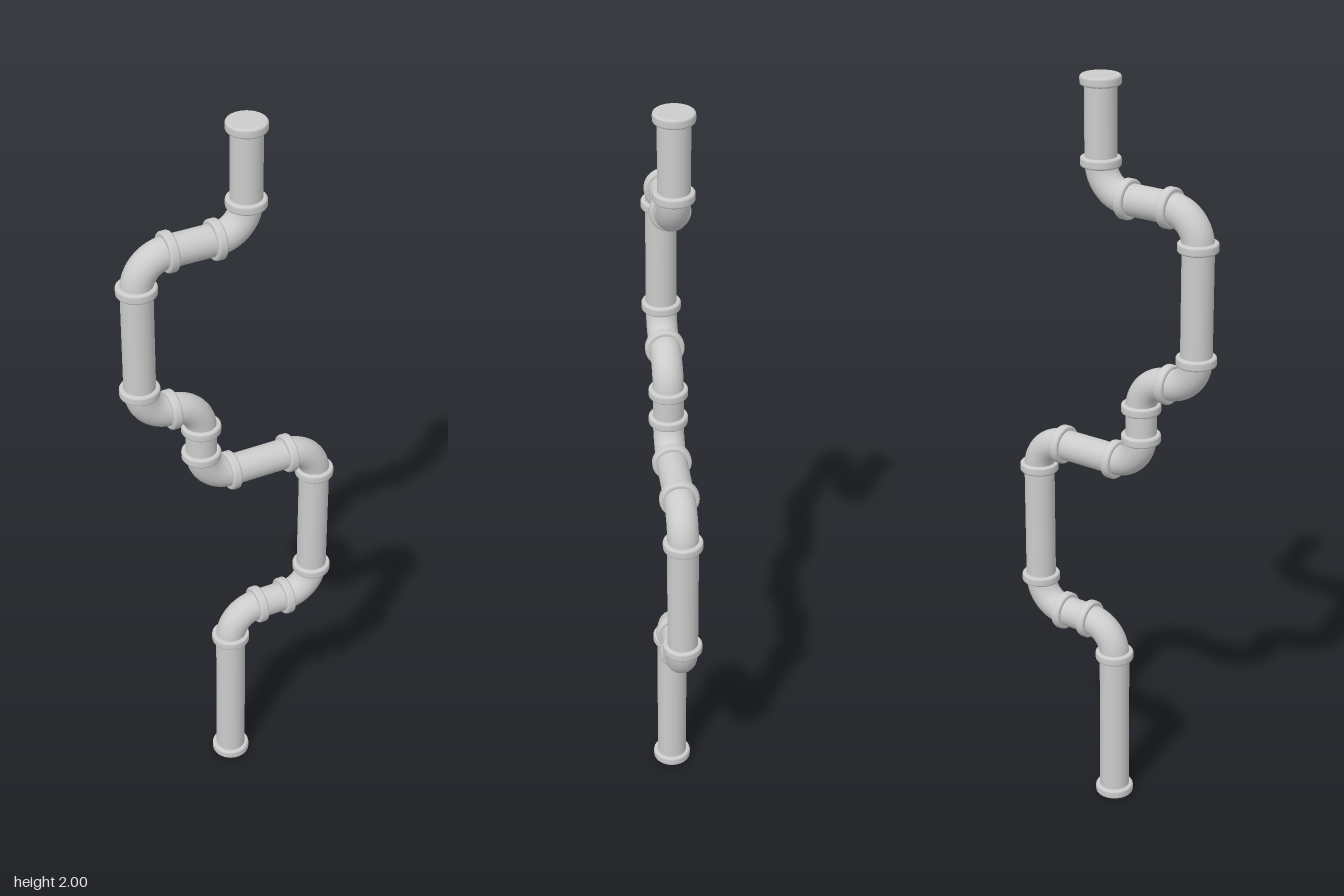
import * as THREE from 'three';

const PIPE = 0.04, COLLAR = 0.051, HALF = 0.0125, BEND = 0.082;

// Corner points of the pipe run, bottom to top
const ROUTE = [
  [0, 0.0125], [0, 0.512], [0.246, 0.512], [0.246, 1.004], [-0.083, 1.004],
  [-0.083, 1.25], [-0.247, 1.25], [-0.247, 1.705], [0.041, 1.705], [0.041, 1.9875],
].map(([x, y]) => new THREE.Vector3(x, y, 0));

// Solid disc with rounded rims
function collarGeometry() {
  const r = 0.006, pts = [[0, -HALF], [COLLAR - r - 0.001, -HALF]];
  for (const side of [-1, 1]) {
    for (let i = 0; i <= 4; i++) {
      const a = (side < 0 ? i - 4 : i) * Math.PI / 8;
      pts.push([COLLAR - r + r * Math.cos(a), side * (HALF - r) + r * Math.sin(a)]);
    }
  }
  pts.push([COLLAR - r - 0.001, HALF], [0, HALF]);
  return new THREE.LatheGeometry(pts.map(([x, y]) => new THREE.Vector2(x, y)), 40);
}

export function createModel() {
  const group = new THREE.Group();
  const material = new THREE.MeshStandardMaterial({ color: 0xcccccc });
  const up = new THREE.Vector3(0, 1, 0);
  const collarGeo = collarGeometry();
  const elbowGeo = new THREE.TorusGeometry(BEND, PIPE, 32, 20, Math.PI / 2);

  const add = (name, geometry, position) => {
    const mesh = new THREE.Mesh(geometry, material);
    mesh.name = name;
    mesh.position.copy(position);
    group.add(mesh);
    return mesh;
  };
  const addCollar = (position, dir) =>
    add('collar', collarGeo, position).quaternion.setFromUnitVectors(up, dir);

  const last = ROUTE.length - 1;
  for (let i = 0; i < last; i++) {
    const dir = ROUTE[i + 1].clone().sub(ROUTE[i]).normalize();
    const start = ROUTE[i].clone().addScaledVector(dir, i > 0 ? BEND : 0);
    const end = ROUTE[i + 1].clone().addScaledVector(dir, i + 1 < last ? -BEND : 0);
    const length = start.distanceTo(end);

    // Straight pipe with a collar at each end (two touching bends share one)
    addCollar(start, dir);
    if (length > 0.01) {
      const pipe = new THREE.CylinderGeometry(PIPE, PIPE, length, 32, 1, true);
      add('straightPipe', pipe, start.clone().lerp(end, 0.5)).quaternion.setFromUnitVectors(up, dir);
      addCollar(end, dir);
    }

    // Quarter bend leading into the next straight
    if (i + 1 < last) {
      const next = ROUTE[i + 2].clone().sub(ROUTE[i + 1]).normalize();
      const centre = end.clone().addScaledVector(next, BEND);
      const xAxis = next.clone().negate();
      const basis = new THREE.Matrix4().makeBasis(xAxis, dir, xAxis.clone().cross(dir));
      add('elbow', elbowGeo, centre).quaternion.setFromRotationMatrix(basis);
    }
  }
  return group;
}
